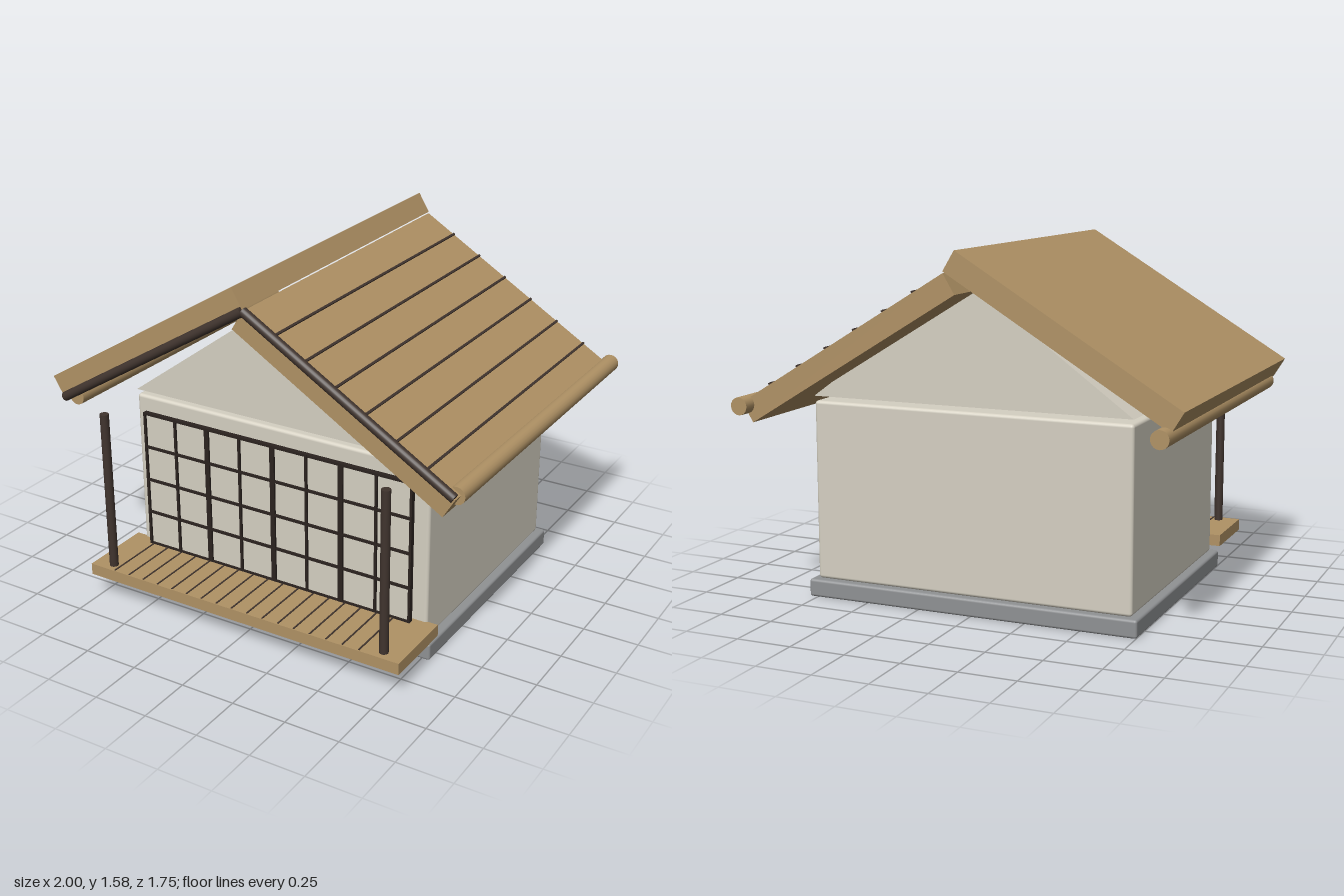
import * as THREE from 'three';
import { RoundedBoxGeometry } from 'three/addons/geometries/RoundedBoxGeometry.js';

const mat = (name, color) => {
  const m = new THREE.MeshStandardMaterial({ color });
  m.name = name;
  return m;
};

export function createModel() {
  const wood = mat('wood', 0xb09265);
  const darkWood = mat('dark wood', 0x40342e);
  const lattice = mat('lattice', 0x2b231f);
  const plaster = mat('plaster', 0xd5d0c2);
  const stone = mat('stone', 0x909294);

  const model = new THREE.Group();
  model.name = 'gardenHouse';
  const CX = 0.017; // middle of the house

  const add = (name, geo, material, x, y, z, parent = model) => {
    const m = new THREE.Mesh(geo, material);
    m.name = name;
    m.position.set(x, y, z);
    parent.add(m);
    return m;
  };
  const box = (name, material, w, h, d, x, y, z, parent) =>
    add(name, new THREE.BoxGeometry(w, h, d), material, x, y, z, parent);

  // round bar between two points
  const bar = (name, material, r, a, b) => {
    const dir = b.clone().sub(a);
    const mid = a.clone().add(b).multiplyScalar(0.5);
    const m = add(name, new THREE.CylinderGeometry(r, r, dir.length(), 20), material, mid.x, mid.y, mid.z);
    m.quaternion.setFromUnitVectors(new THREE.Vector3(0, 1, 0), dir.normalize());
    return m;
  };
  const v = (x, y, z) => new THREE.Vector3(x, y, z);

  // foundation and walls
  add('foundation', new RoundedBoxGeometry(1.544, 0.08, 1.192, 3, 0.012), stone, CX, 0.04, -0.022);
  add('walls', new RoundedBoxGeometry(1.48, 0.805, 1.132, 3, 0.015), plaster, CX, 0.483, -0.024);

  // gable, with a narrow gap above the walls
  const tri = new THREE.Shape([
    new THREE.Vector2(-0.74, 0.907),
    new THREE.Vector2(0.74, 0.907),
    new THREE.Vector2(0, 1.445),
  ]);
  add('gable', new THREE.ExtrudeGeometry(tri, { depth: 1.132, bevelEnabled: false }), plaster, CX, 0, -0.59);

  // roof slabs: the left one rides above the right one
  const slope = Math.atan2(0.585, 0.963);
  const slab = (name, x, y, angle) => {
    const g = new THREE.Group();
    g.name = name;
    g.position.set(x, y, -0.022);
    g.rotation.z = angle;
    model.add(g);
    box(name + 'Slab', wood, 1.13, 0.1, 1.585, 0, 0, 0, g);
    return g;
  };
  slab('leftSideRoof', -0.4935, 1.2425, slope);
  const battened = slab('rightSideRoof', 0.4715, 1.15, -slope);
  for (let i = 0; i < 6; i++) {
    box('roofBatten', darkWood, 0.01, 0.014, 1.58, -0.403 + i * 0.161, 0.051, 0, battened);
  }

  // barge poles on the front edge, eave logs along the sides
  for (const s of [-1, 1]) {
    bar('bargePole', darkWood, 0.021, v(CX + s * 0.96, 0.907, 0.77), v(CX, 1.487, 0.77));
    bar('eaveLog', wood, 0.039, v(CX + s * 0.942, 0.891, 0.717), v(CX + s * 0.942, 0.891, -0.875));
    bar('porchPost', darkWood, 0.02, v(CX + s * 0.695, 0.15, 0.83), v(CX + s * 0.695, 0.905, 0.83));
  }

  // porch deck with board joints
  box('deck', wood, 1.577, 0.053, 0.342, CX, 0.1365, 0.704);
  for (let i = 0; i < 17; i++) {
    box('boardJoint', darkWood, 0.007, 0.004, 0.33, -0.643 + i * 0.0787, 0.1635, 0.705);
  }

  // four sliding screens, each with a two by four lattice
  const W = 0.34, Y0 = 0.165, Y1 = 0.817, T = 0.011;
  const H = Y1 - Y0, YM = (Y0 + Y1) / 2;
  for (let i = 0; i < 4; i++) {
    const screen = new THREE.Group();
    screen.name = 'slidingScreen';
    screen.position.set(CX + (i - 1.5) * W, YM, 0.573);
    model.add(screen);
    box('screenPaper', plaster, W - 0.004, H, 0.009, 0, 0, -0.003, screen);
    for (const x of [-1, 0, 1]) {
      box('screenUpright', lattice, T, H + T, 0.023, x * (W / 2 - T / 2), 0, 0, screen);
    }
    for (let j = 0; j <= 4; j++) {
      box('screenRail', lattice, W, T, 0.022, 0, -H / 2 + (j * H) / 4, 0, screen);
    }
  }

  return model;
}
